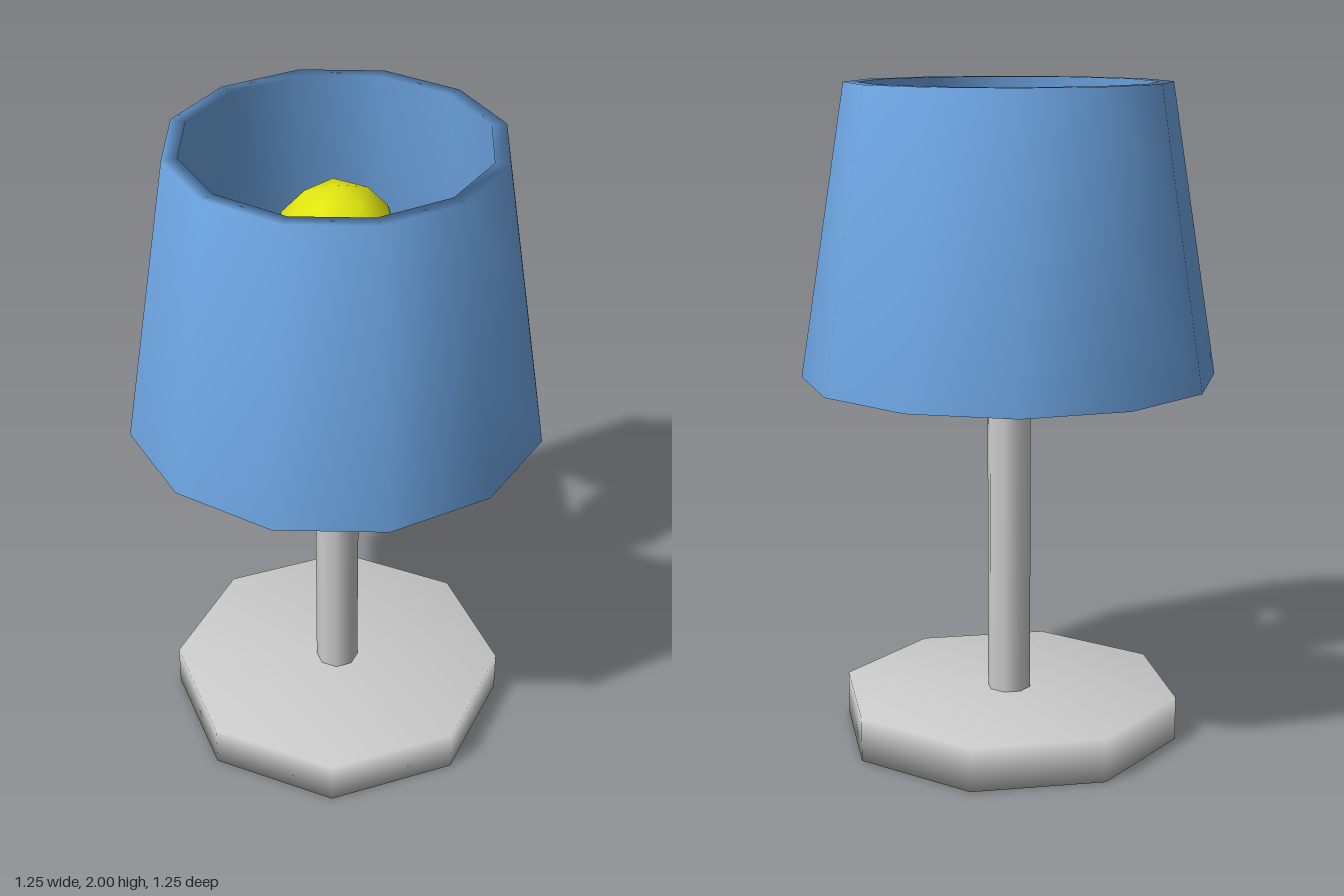
import * as THREE from 'three';

const grey = new THREE.MeshStandardMaterial({ color: 0xcccccc });
const greyThin = new THREE.MeshStandardMaterial({ color: 0xcccccc, flatShading: true, side: THREE.DoubleSide });
const blue = new THREE.MeshStandardMaterial({ color: 0x6fa8e6 });
const yellow = new THREE.MeshStandardMaterial({ color: 0xe2e610 });

// Smooth low-poly solid of revolution from [radius, height] pairs
function turned(name, profile, sides, material) {
  const points = profile.map(([r, y]) => new THREE.Vector2(r, y));
  const mesh = new THREE.Mesh(new THREE.LatheGeometry(points, sides), material);
  mesh.name = name;
  return mesh;
}

// Tapered, tilted bracket between the pole and the inside of the shade
function shadeArm(name, turn) {
  const geometry = new THREE.BufferGeometry();
  geometry.setAttribute('position', new THREE.Float32BufferAttribute([
    0, 1.31, 0, 0, 1.38, 0, 0.54, 1.28, 0, 0.395, 1.355, 0.358,
  ], 3));
  geometry.setIndex([1, 3, 2, 0, 2, 3, 0, 1, 2, 0, 3, 1]);
  geometry.computeVertexNormals();
  const mesh = new THREE.Mesh(geometry, greyThin);
  mesh.name = name;
  mesh.rotation.y = turn;
  return mesh;
}

export function createModel() {
  const lamp = new THREE.Group();
  lamp.name = 'tableLamp';

  // Octagonal foot and slim pole
  lamp.add(turned('base', [[0, 0], [0.525, 0], [0.525, 0.135], [0, 0.135]], 8, grey));
  lamp.add(turned('pole', [[0.067, 0.13], [0.067, 1.55], [0, 1.55]], 8, grey));

  // Twelve-sided hollow shade, closed profile starting halfway up the outside
  lamp.add(turned('shade', [
    [0.555, 1.5625], [0.485, 2], [0.44, 2], [0.58, 1.125], [0.625, 1.125], [0.555, 1.5625],
  ], 12, blue));

  // Two opposite brackets
  lamp.add(shadeArm('leftShadeArm', 0), shadeArm('rightShadeArm', Math.PI));

  // Faceted round bulb, turned so one corner points straight up
  const bulb = new THREE.Mesh(new THREE.IcosahedronGeometry(0.178, 1), yellow);
  bulb.name = 'bulb';
  bulb.position.y = 1.69;
  bulb.rotation.z = -Math.atan(2 / (1 + Math.sqrt(5)));
  lamp.add(bulb);

  return lamp;
}
